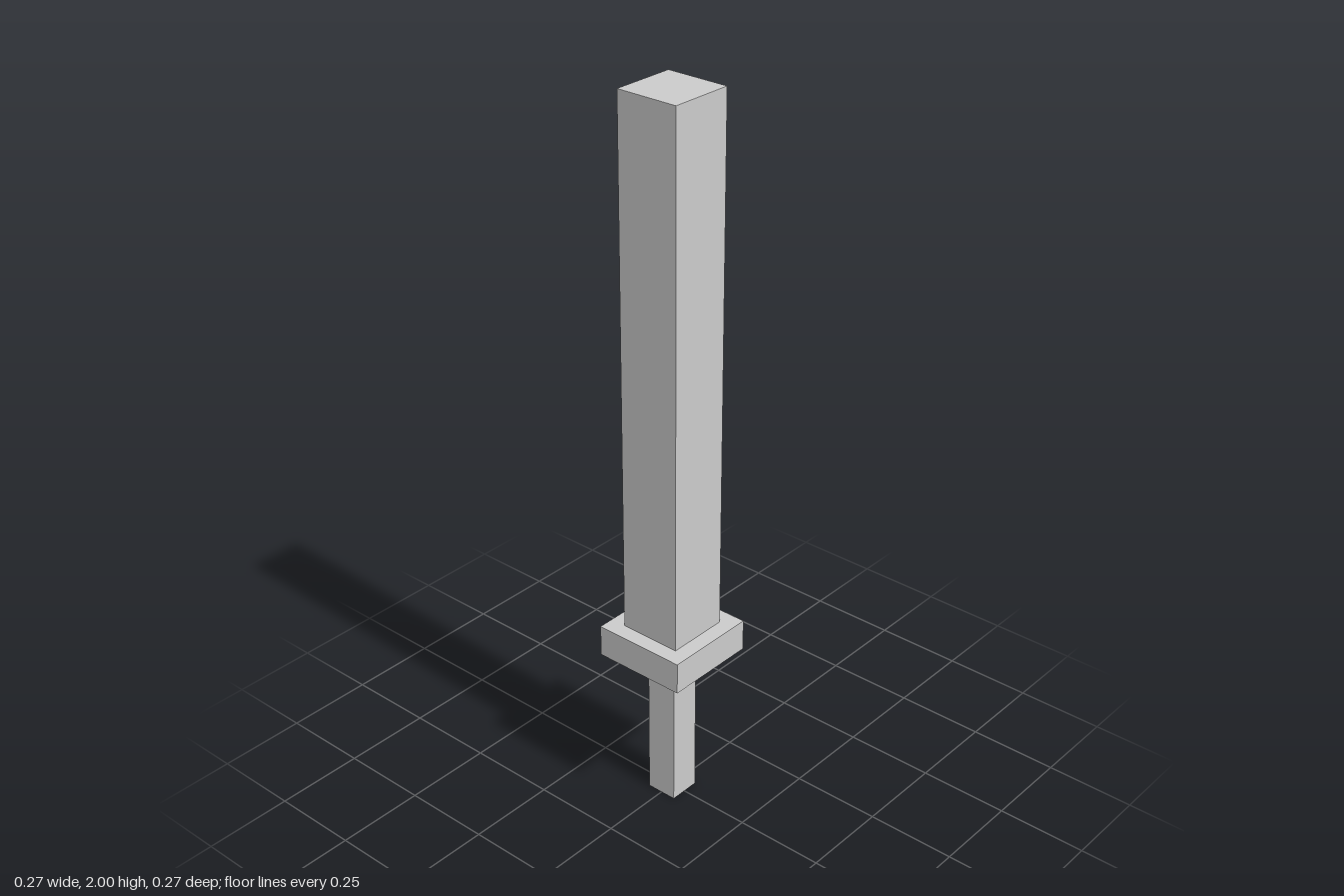
import * as THREE from 'three';

const U = 2 / 22.5; // one module: the width of the grip

export function createModel() {
  const model = new THREE.Group();
  model.name = 'sword';
  const material = new THREE.MeshStandardMaterial({ color: 0xcccccc, flatShading: true });

  // Square bars stacked from the ground up: name, width, height (in modules)
  const parts = [
    ['grip', 1, 5],
    ['guard', 3, 1],
    ['blade', 2, 16.5],
  ];

  let y = 0;
  for (const [name, width, height] of parts) {
    const bar = new THREE.Mesh(new THREE.BoxGeometry(width * U, height * U, width * U), material);
    bar.name = name;
    bar.position.y = y + (height * U) / 2;
    model.add(bar);
    y += height * U;
  }
  return model;
}
